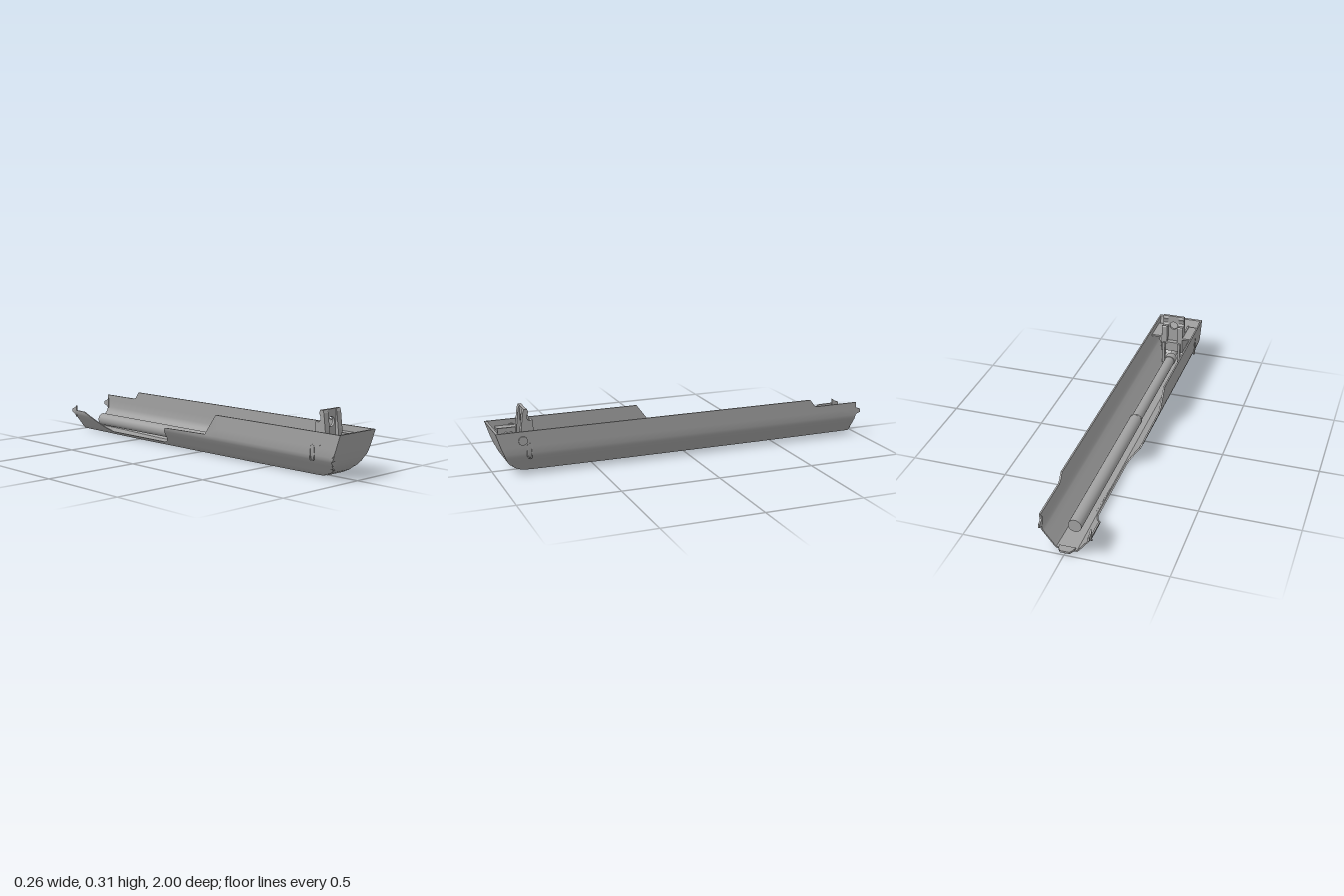
import * as THREE from 'three';
import { toCreasedNormals } from 'three/addons/utils/BufferGeometryUtils.js';

const CX = -0.003; // shell centre line

// piecewise-linear lookup through [key, value] pairs with ascending keys
function lerpTable(table, k) {
  if (k <= table[0][0]) return table[0][1];
  for (let i = 1; i < table.length; i++) {
    const [k0, v0] = table[i - 1], [k1, v1] = table[i];
    if (k <= k1) return v0 + (v1 - v0) * (k - k0) / (k1 - k0);
  }
  return table[table.length - 1][1];
}

// half width of the shell by height
const WIDTH = [[0, 0.034], [0.003, 0.045], [0.01, 0.053], [0.02, 0.062], [0.09, 0.116], [0.1, 0.122], [0.115, 0.126], [0.225, 0.127]];
// underside, including the upswept nose
const KEEL = [[-0.97, 0.008], [-0.75, 0.006], [-0.42, 0], [0.4, 0], [0.8, 0.005], [0.84, 0.007], [0.87, 0.014],
  [0.9, 0.029], [0.925, 0.05], [0.942, 0.072], [0.955, 0.1], [0.975, 0.15], [1, 0.225]];
// top edge of each side wall
const RIM_LEFT = [[-0.97, 0.185], [-0.73, 0.185], [-0.715, 0.192], [-0.69, 0.225]];
const RIM_RIGHT = [[-0.97, 0.12], [-0.88, 0.118], [-0.84, 0.098], [-0.8, 0.07], [-0.75, 0.04], [-0.7, 0.021], [-0.26, 0.02],
  [-0.235, 0.028], [-0.215, 0.05], [-0.2, 0.095], [-0.185, 0.112], [0.12, 0.118], [0.2, 0.225]];

// one half of a cross-section, from the middle out to the rim
function halfSection(z, side, inset) {
  const rim = lerpTable(side > 0 ? RIM_LEFT : RIM_RIGHT, z);
  const low = Math.min(lerpTable(KEEL, z + inset * 1.5) + inset, rim);
  const levels = [0, 0.003, 0.01, 0.02, 0.035, 0.05, 0.07, 0.09, 0.1, 0.115, 0.15, 0.185, 0.225];
  const pts = levels.map((y, i) => {
    let level = Math.min(y, rim);
    if (y < low && (levels[i + 1] ?? 1) > low) level = low; // exact corner at the floor
    return [CX + side * (lerpTable(WIDTH, level) - inset), Math.max(level, low)];
  });
  return [[CX, low], ...pts];
}

function shellGeometry() {
  const stations = [...new Set([...KEEL, ...RIM_LEFT, ...RIM_RIGHT].map(p => p[0]).concat([0.89, 0.934, 0.965, 0.985]))].sort((a, b) => a - b);
  const rings = stations.map(z => {
    const path = inset => [...halfSection(z, -1, inset).reverse(), ...halfSection(z, 1, inset).slice(1)];
    return [...path(0), ...path(0.008).reverse()].map(([x, y]) => [x, y, z]);
  });
  const n = rings[0].length, pos = [];
  const quad = (a, b, c, d) => pos.push(...a, ...b, ...c, ...a, ...c, ...d);
  for (let k = 0; k < rings.length - 1; k++) {
    for (let i = 0; i < n; i++) {
      const j = (i + 1) % n;
      quad(rings[k][i], rings[k][j], rings[k + 1][j], rings[k + 1][i]);
    }
  }
  const end = rings[0]; // rear edge
  for (let i = 0; i < n / 2 - 1; i++) quad(end[i], end[n - 1 - i], end[n - 2 - i], end[i + 1]);
  const geo = new THREE.BufferGeometry();
  geo.setAttribute('position', new THREE.Float32BufferAttribute(pos, 3));
  return toCreasedNormals(geo, 0.45);
}

export function createModel() {
  const model = new THREE.Group();
  const grey = new THREE.MeshStandardMaterial({ color: 0xa0a0a0 });
  grey.name = 'satin grey';
  grey.side = THREE.DoubleSide;

  const add = (name, geo, x = 0, y = 0, z = 0, parent = model) => {
    const m = new THREE.Mesh(geo, grey);
    m.name = name;
    m.position.set(x, y, z);
    parent.add(m);
    return m;
  };
  const box = (name, x0, x1, y0, y1, z0, z1) => add(name,
    new THREE.BoxGeometry(x1 - x0, y1 - y0, z1 - z0), (x0 + x1) / 2, (y0 + y1) / 2, (z0 + z1) / 2);
  const rod = (name, r, z0, z1, y = 0.066) =>
    add(name, new THREE.CylinderGeometry(r, r, z1 - z0, 32).rotateX(Math.PI / 2), -0.005, y, (z0 + z1) / 2);
  // extrude a [z, y] outline across x
  const across = (name, outline, x0, x1) => {
    const shape = new THREE.Shape(outline.map(([z, y]) => new THREE.Vector2(-z, y)));
    const geo = new THREE.ExtrudeGeometry(shape, { depth: x1 - x0, bevelEnabled: false }).rotateY(Math.PI / 2);
    return add(name, geo, x0, 0, 0);
  };

  add('shell', shellGeometry());

  // stepped rod lying in the trough
  rod('rearRod', 0.033, -0.865, 0.085);
  rod('rodCollar', 0.034, 0.08, 0.09);
  rod('frontRod', 0.028, 0.09, 0.75);
  rod('rodHead', 0.031, 0.745, 0.79);
  rod('rodPin', 0.018, 0.79, 0.9);

  // upright bracket with a round hole
  const cheek = [[0.862, 0.15], [0.858, 0.22], [0.848, 0.3], [0.842, 0.315], [0.826, 0.315], [0.82, 0.3], [0.826, 0.287],
    [0.829, 0.272], [0.822, 0.26], [0.811, 0.256], [0.802, 0.262], [0.798, 0.255], [0.798, 0.15]];
  across('bracketRightCheek', cheek, -0.065, -0.033);
  across('bracketLeftCheek', cheek, 0.027, 0.057);
  const plate = new THREE.Shape([[-0.035, 0.15], [0.029, 0.15], [0.029, 0.315], [-0.035, 0.315]].map(p => new THREE.Vector2(...p)));
  plate.holes.push(new THREE.Path().absarc(-0.004, 0.255, 0.023, 0, Math.PI * 2, true));
  add('bracketPlate', new THREE.ExtrudeGeometry(plate, { depth: 0.014, bevelEnabled: false, curveSegments: 24 }), 0, 0, 0.828);

  // bracket seat: ledges, posts and cross bars
  box('rightLedge', -0.122, -0.06, 0.185, 0.195, 0.8, 0.95);
  box('leftLedge', 0.055, 0.116, 0.185, 0.195, 0.8, 0.95);
  for (const s of [-1, 1]) {
    const x = CX + s * 0.057;
    box('seatRib', x - 0.005, x + 0.005, 0.1, 0.2, 0.8, 0.95);
    box('seatPost', x - s * 0.012 - 0.007, x - s * 0.012 + 0.007, 0.03, 0.16, 0.785, 0.81);
  }
  box('seatBlock', -0.06, 0.054, 0.105, 0.16, 0.8, 0.87);
  for (const z of [0.885, 0.91]) {
    add('crossBar', new THREE.CylinderGeometry(0.009, 0.009, 0.11, 16).rotateZ(Math.PI / 2), CX, 0.17, z);
  }

  // side pins and slots, mirrored
  for (const s of [-1, 1]) {
    add('sidePin', new THREE.CylinderGeometry(0.022, 0.022, 0.012, 28).rotateZ(Math.PI / 2), s * 0.124, 0.18, 0.868);
    const w = 0.014, slot = new THREE.Shape();
    slot.absarc(0, 0.025, w, 0, Math.PI, false);
    slot.absarc(0, -0.025, w, Math.PI, Math.PI * 2, false);
    const hole = new THREE.Path();
    hole.absarc(0, 0.025, w * 0.6, 0, Math.PI, false);
    hole.absarc(0, -0.025, w * 0.6, Math.PI, Math.PI * 2, false);
    slot.holes.push(hole);
    const geo = new THREE.ExtrudeGeometry(slot, { depth: 0.006, bevelEnabled: false }).translate(0, 0, -0.003).rotateY(Math.PI / 2);
    add('sideSlotRim', geo, CX + s * 0.1255, 0.125, 0.835);
  }

  // rear locating tabs
  const sideTab = [[-0.96, 0.1], [-0.975, 0.118], [-1, 0.128], [-0.998, 0.145], [-0.978, 0.152], [-0.96, 0.165]];
  across('leftRearTab', sideTab, 0.112, 0.12);
  across('rightRearTab', sideTab.map(([z, y]) => [z, y - 0.02]), -0.124, -0.116);
  const tongue = new THREE.Shape([[-0.045, 0.96], [0.038, 0.96], [0.03, 0.985], [0.02, 1], [-0.026, 1], [-0.036, 0.985]].map(p => new THREE.Vector2(...p)));
  add('rearTongue', new THREE.ExtrudeGeometry(tongue, { depth: 0.01, bevelEnabled: false }).rotateX(-Math.PI / 2), 0, 0.012, 0);

  return model;
}
